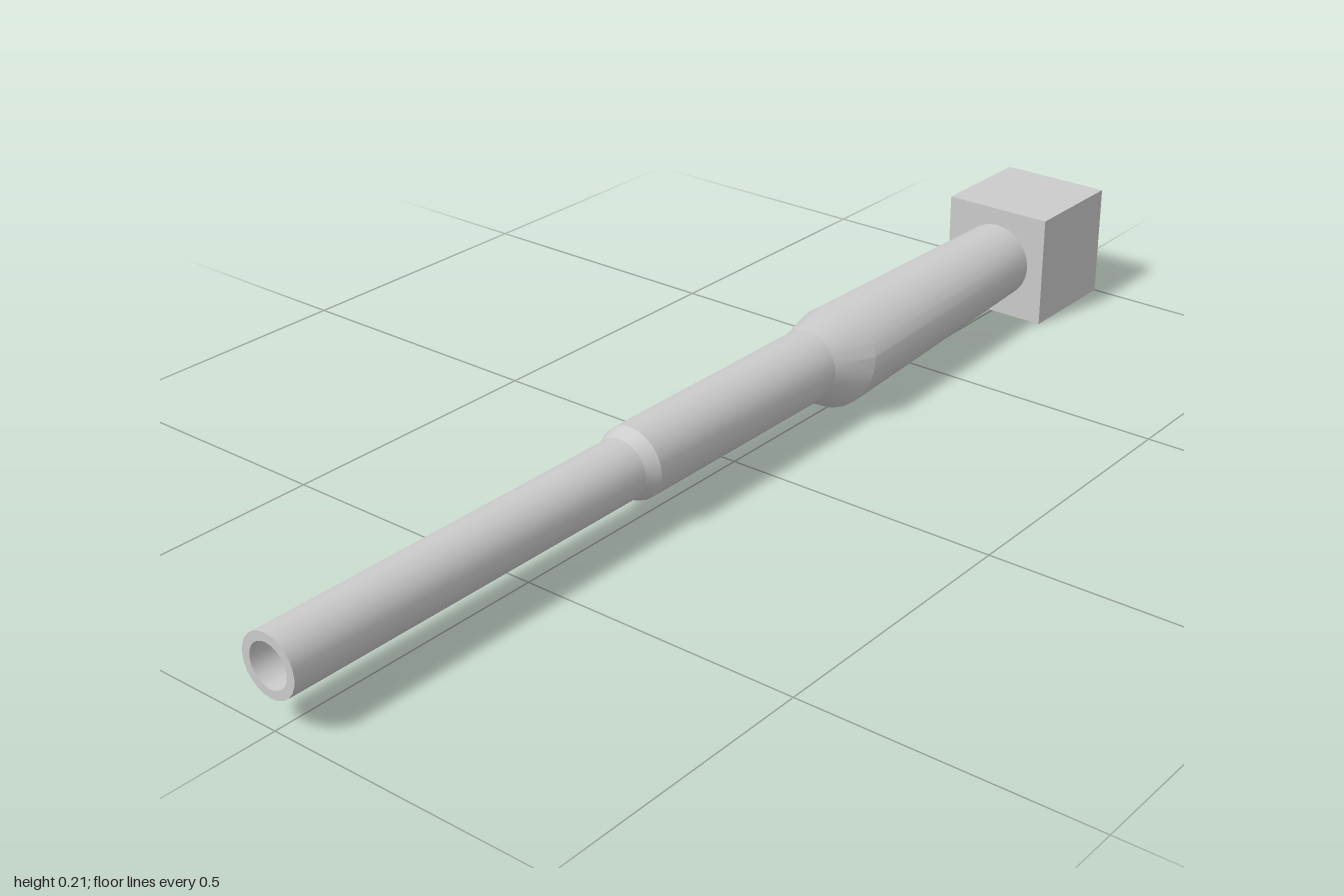
import * as THREE from 'three';
import { toCreasedNormals } from 'three/addons/utils/BufferGeometryUtils.js';

const SIDES = 24;
const AXIS_Y = 0.104;

// Skins elliptical rings [x, centreY, radiusY, radiusZ, tilt] along x.
function loftRings(rings) {
  const positions = [];
  const indices = [];
  for (const [x, cy, ry, rz, tilt] of rings) {
    for (let j = 0; j < SIDES; j++) {
      const a = (j / SIDES) * Math.PI * 2;
      positions.push(x + tilt * Math.cos(a), cy + ry * Math.cos(a), rz * Math.sin(a));
    }
  }
  for (let i = 0; i < rings.length - 1; i++) {
    for (let j = 0; j < SIDES; j++) {
      const k = (j + 1) % SIDES;
      const a = i * SIDES + j, b = i * SIDES + k;
      const c = a + SIDES, d = b + SIDES;
      indices.push(a, c, b, b, c, d);
    }
  }
  const geometry = new THREE.BufferGeometry();
  geometry.setAttribute('position', new THREE.Float32BufferAttribute(positions, 3));
  geometry.setIndex(indices);
  return toCreasedNormals(geometry, 0.4);
}

const round = (x, r, tilt = 0) => [x, AXIS_Y, r, r, tilt];

export function createModel() {
  const group = new THREE.Group();
  const material = new THREE.MeshStandardMaterial({ color: 0xcccccc });

  const addPart = (name, rings) => {
    const mesh = new THREE.Mesh(loftRings(rings), material);
    mesh.name = name;
    group.add(mesh);
  };

  // Tapered grip with a slanted, swollen shoulder
  addPart('grip', [
    round(0.8, 0),
    [0.8, 0.105, 0.07, 0.071, 0],
    [0.27, 0.094, 0.084, 0.091, 0.028],
    round(0.195, 0.063, 0.005),
  ]);

  // Middle sleeve with a small chamfered step
  addPart('sleeve', [
    round(0.195, 0.063, 0.005),
    round(-0.26, 0.063),
    round(-0.285, 0.052),
  ]);

  // Slim tube, open at its end with a blind bore
  addPart('tube', [
    round(-0.285, 0.052),
    round(-1, 0.052),
    round(-1, 0.037),
    round(-0.8, 0.037),
    round(-0.8, 0),
  ]);

  // Cube at the end of the grip
  const size = 0.207;
  const block = new THREE.Mesh(new THREE.BoxGeometry(size, size, size), material);
  block.name = 'endBlock';
  block.position.set(1 - size / 2, size / 2, 0);
  group.add(block);

  return group;
}
